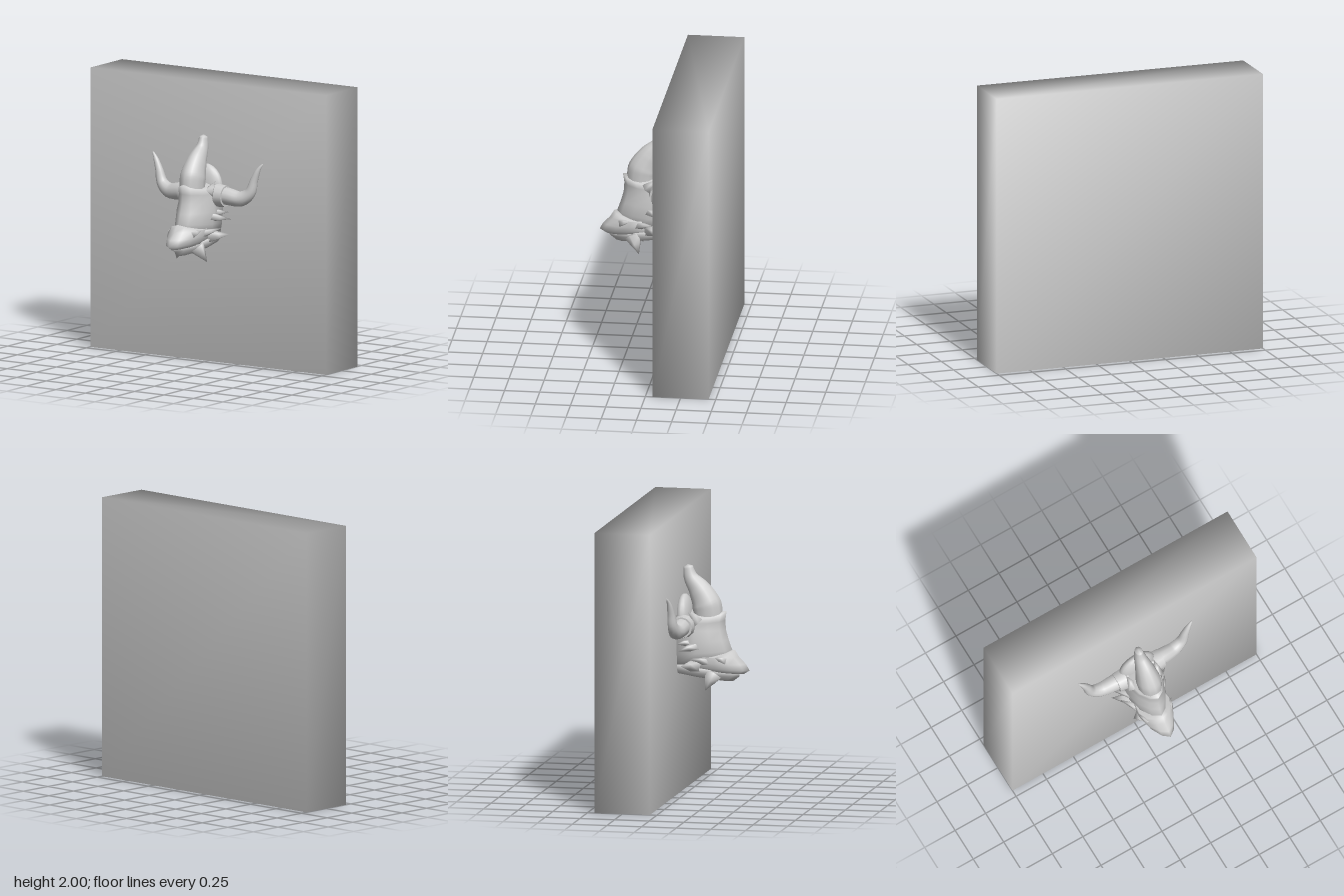
import * as THREE from 'three';
import { mergeVertices } from 'three/addons/utils/BufferGeometryUtils.js';

const stone = new THREE.MeshStandardMaterial({ color: 0xcccccc });
stone.name = 'stone grey';

// Share vertices so that the shading runs smoothly over edges
function smooth(geometry) {
  geometry.deleteAttribute('uv');
  geometry.deleteAttribute('normal');
  const merged = mergeVertices(geometry, 1e-4);
  merged.computeVertexNormals();
  return merged;
}

function part(name, geometry, parent) {
  const mesh = new THREE.Mesh(geometry, stone);
  mesh.name = name;
  parent.add(mesh);
  return mesh;
}

// Stack of keel-fronted sections, bottom to top:
// [front y, back y, front z, back z, half width, side drop]
function loft(sections) {
  const half = [[0, 0], [0.42, 0.1], [0.8, 0.32], [1, 0.62], [0.9, 1]];
  const outline = [...half, [0, 1], ...half.slice(1).reverse().map(([x, t]) => [-x, t])];
  const n = outline.length, pos = [], idx = [];
  for (const [yf, yb, zf, zb, w, drop = 0] of sections) {
    for (const [x, t] of outline) {
      pos.push(x * w, yf + (yb - yf) * t - drop * Math.abs(x), zf + (zb - zf) * t);
    }
  }
  for (let s = 0; s < sections.length - 1; s++) {
    for (let i = 0; i < n; i++) {
      const a = s * n + i, b = s * n + (i + 1) % n;
      idx.push(a, b, b + n, a, b + n, a + n);
    }
  }
  // End caps
  [0, sections.length - 1].forEach((s, top) => {
    const [yf, yb, zf, zb] = sections[s];
    const c = pos.length / 3;
    pos.push(0, (yf + yb) / 2, (zf + zb) / 2);
    for (let i = 0; i < n; i++) {
      const a = s * n + i, b = s * n + (i + 1) % n;
      if (top) idx.push(a, b, c); else idx.push(b, a, c);
    }
  });
  const g = new THREE.BufferGeometry();
  g.setAttribute('position', new THREE.Float32BufferAttribute(pos, 3));
  g.setIndex(idx);
  g.computeVertexNormals();
  return g;
}

// Tapering tube along points, with radii spread evenly along its length
function horn(points, radii, xScale = 1) {
  const segments = 30, sides = 12;
  const curve = new THREE.CatmullRomCurve3(points.map(p => new THREE.Vector3(...p)));
  const g = new THREE.TubeGeometry(curve, segments, 1, sides);
  const p = g.attributes.position, v = new THREE.Vector3();
  for (let i = 0; i <= segments; i++) {
    const c = curve.getPointAt(i / segments);
    const f = i / segments * (radii.length - 1);
    const k = Math.min(Math.floor(f), radii.length - 2);
    const r = i === segments ? 0 : THREE.MathUtils.lerp(radii[k], radii[k + 1], f - k);
    for (let j = 0; j <= sides; j++) {
      const q = i * (sides + 1) + j;
      v.fromBufferAttribute(p, q).sub(c).multiplyScalar(r);
      v.x *= xScale;
      v.add(c);
      p.setXYZ(q, v.x, v.y, v.z);
    }
  }
  return smooth(g);
}

// Four-sided pointed spike from a base centre to a tip
function spike(name, base, tip, radius, parent) {
  const a = new THREE.Vector3(...base), b = new THREE.Vector3(...tip);
  const dir = b.clone().sub(a), length = dir.length();
  const g = new THREE.ConeGeometry(radius, length, 5, 2);
  g.translate(0, length / 2, 0);
  const mesh = part(name, smooth(g), parent);
  mesh.quaternion.setFromUnitVectors(new THREE.Vector3(0, 1, 0), dir.normalize());
  mesh.position.copy(a);
}

export function createModel() {
  const model = new THREE.Group();
  model.name = 'mountedDragonHead';

  // Wall slab
  part('wallSlab', smooth(new THREE.BoxGeometry(2, 2, 0.4).translate(0, 1, -0.25)), model);

  const head = new THREE.Group();
  head.name = 'head';
  model.add(head);

  // Skull with a raised brow point
  part('skull', loft([
    [0.92, 0.93, 0.32, -0.06, 0.115],
    [1.03, 1.0, 0.325, -0.06, 0.13],
    [1.1, 1.1, 0.3, -0.06, 0.14],
    [1.17, 1.18, 0.28, -0.06, 0.125],
    [1.24, 1.25, 0.275, -0.06, 0.125, 0.02],
    [1.305, 1.31, 0.285, -0.03, 0.115, 0.05],
  ]), head);

  // Beak plate overlapping the front of the skull
  part('beak', loft([
    [0.86, 0.9, 0.41, 0.08, 0.1],
    [0.885, 0.92, 0.45, 0.08, 0.115],
    [0.93, 0.95, 0.425, 0.1, 0.125],
    [0.98, 0.99, 0.375, 0.12, 0.125],
    [1.03, 1.01, 0.345, 0.14, 0.12, 0.03],
  ]), head);

  // Lower jaw reaching back to the wall
  part('jaw', loft([
    [0.805, 0.865, 0.33, -0.06, 0.09],
    [0.84, 0.89, 0.375, -0.06, 0.115],
    [0.87, 0.93, 0.38, -0.06, 0.12],
  ]), head);

  // Rounded crest behind the horns
  const crest = part('crest', new THREE.SphereGeometry(1, 20, 14), head);
  crest.scale.set(0.14, 0.165, 0.06);
  crest.position.set(0, 1.255, -0.02);

  // Middle horn
  part('middleHorn', horn(
    [[0, 1.24, 0.155], [0, 1.35, 0.14], [0, 1.45, 0.09], [0, 1.54, 0.025], [0, 1.63, 0.005]],
    [0.105, 0.108, 0.085, 0.055, 0.03], 0.8), head);

  // Paired parts
  for (const s of [1, -1]) {
    const side = s > 0 ? 'left' : 'right';
    part(side + 'Horn', horn(
      [[0.09, 1.21, 0], [0.19, 1.205, -0.005], [0.3, 1.195, -0.015], [0.37, 1.24, -0.025],
        [0.405, 1.34, -0.03], [0.435, 1.41, -0.035], [0.47, 1.46, -0.045]]
        .map(([x, y, z]) => [s * x, y, z]),
      [0.065, 0.065, 0.06, 0.052, 0.04, 0.03, 0.02, 0.004]), head);
    const collar = part(side + 'HornCollar',
      new THREE.CylinderGeometry(0.075, 0.085, 0.07, 12), head);
    collar.rotation.z = -s * Math.PI / 2;
    collar.position.set(s * 0.15, 1.205, 0);

    spike(side + 'BrowSpike', [s * 0.1, 1.23, 0.1], [s * 0.115, 1.31, 0.03], 0.045, head);
    spike(side + 'CheekSpike', [s * 0.1, 1.065, 0.09], [s * 0.215, 1.04, -0.02], 0.04, head);
    spike(side + 'UpperCheekSpike', [s * 0.1, 1.09, 0.05], [s * 0.185, 1.085, -0.04], 0.035, head);
    spike(side + 'JawSpike', [s * 0.09, 0.92, 0.08], [s * 0.22, 0.935, 0], 0.055, head);
    spike(side + 'LipSpike', [s * 0.09, 0.95, 0.17], [s * 0.185, 0.985, 0.06], 0.035, head);
    spike(side + 'BeakSpike', [s * 0.085, 0.96, 0.28], [s * 0.135, 0.99, 0.23], 0.035, head);
    spike(side + 'ChinSpike', [s * 0.07, 0.86, 0.2], [s * 0.13, 0.75, 0.155], 0.065, head);
  }
  return model;
}
